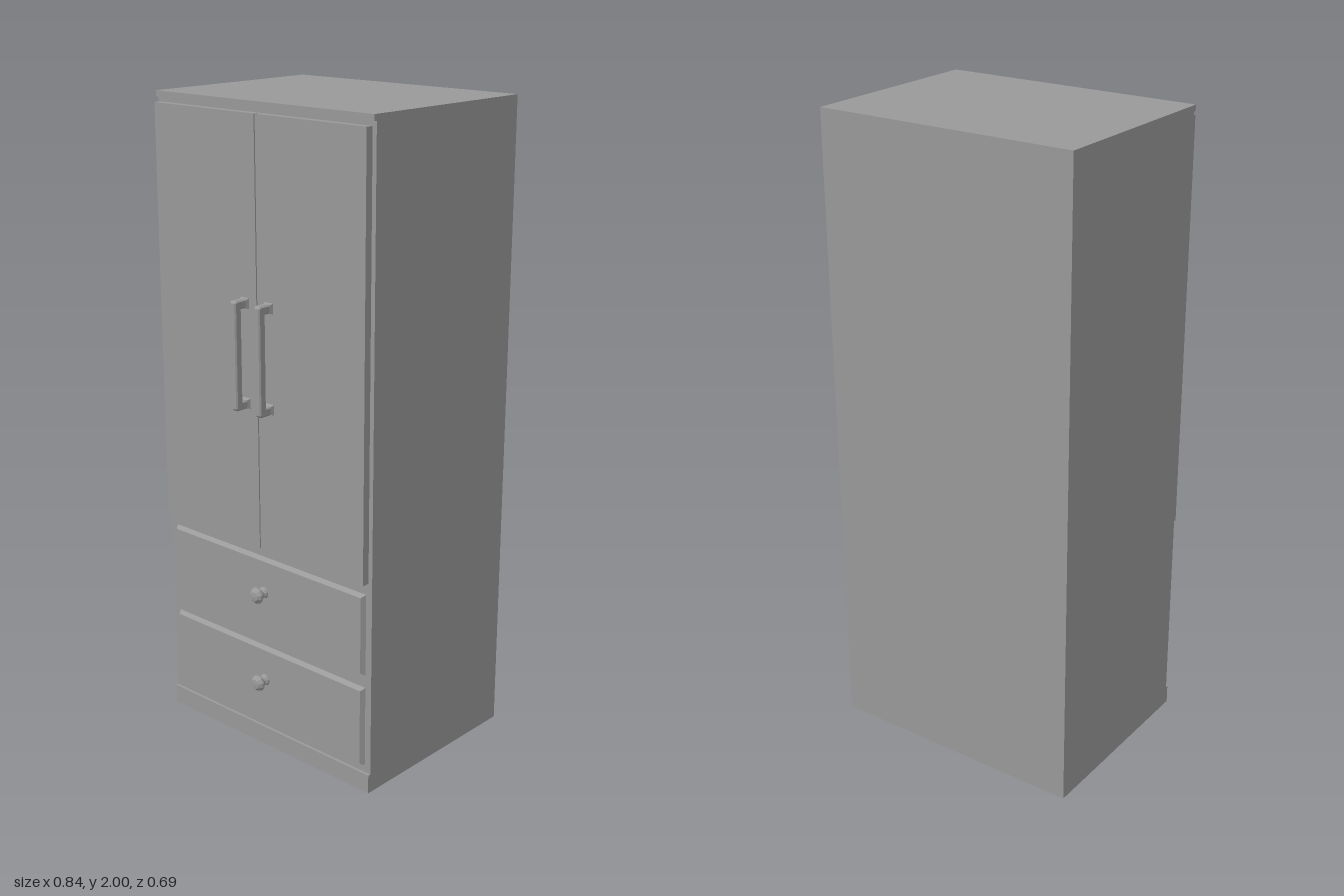
import * as THREE from 'three';

const grey = new THREE.MeshStandardMaterial({ color: 0x999999 });
grey.name = 'plain grey';

function add(parent, name, geometry, x = 0, y = 0, z = 0) {
  const mesh = new THREE.Mesh(geometry, grey);
  mesh.name = name;
  mesh.position.set(x, y, z);
  parent.add(mesh);
  return mesh;
}

// Extrudes a side profile of [z, y] points along x, centred on x = 0
function sideExtrude(points, width, bevel = 0) {
  const shape = new THREE.Shape(points.map(([z, y]) => new THREE.Vector2(z, y)));
  const geo = new THREE.ExtrudeGeometry(shape, {
    depth: width - 2 * bevel, bevelEnabled: bevel > 0, bevelSize: bevel,
    bevelThickness: bevel, bevelOffset: -bevel, bevelSegments: 1,
  });
  return geo.translate(0, 0, bevel - width / 2).rotateY(-Math.PI / 2);
}

// Box from z = 0 to depth whose front face is inset by the given amount
function bevelPanel(w, h, depth, inset) {
  const geo = new THREE.BoxGeometry(w, h, depth).translate(0, 0, depth / 2);
  const p = geo.attributes.position;
  for (let i = 0; i < p.count; i++) {
    if (p.getZ(i) < depth / 2) continue;
    p.setXY(i, p.getX(i) - Math.sign(p.getX(i)) * inset, p.getY(i) - Math.sign(p.getY(i)) * inset);
  }
  geo.computeVertexNormals();
  return geo;
}

// Faceted knob turned around the z axis
function knobGeometry() {
  const profile = [
    [0.019, 0], [0.017, 0.006], [0.011, 0.01], [0.011, 0.021], [0.021, 0.024],
    [0.026, 0.031], [0.024, 0.037], [0.015, 0.045], [0, 0.047],
  ].map(([r, y]) => new THREE.Vector2(r, y));
  const geo = new THREE.LatheGeometry(profile, 10).toNonIndexed();
  geo.computeVertexNormals();
  return geo.rotateX(Math.PI / 2);
}

export function createModel() {
  const model = new THREE.Group();
  model.name = 'wardrobe';
  const face = 0.268, lip = 0.277, doorFront = 0.292;

  // Cabinet with projecting plinth and top lip
  add(model, 'cabinet', sideExtrude([
    [-0.35, 0], [lip, 0], [lip, 0.06], [face, 0.06],
    [face, 1.982], [lip, 1.982], [lip, 2], [-0.35, 2],
  ], 0.842));

  // Pair of doors with a thin gap, and their pull handles
  const handle = sideExtrude([
    [0, 1.111], [0.046, 1.111], [0.052, 1.117], [0.052, 1.434], [0.046, 1.44], [0, 1.44],
    [0, 1.414], [0.026, 1.414], [0.026, 1.137], [0, 1.137],
  ], 0.024, 0.004);
  const foot = bevelPanel(0.032, 0.032, 0.01, 0.004);
  for (const [side, x0, x1, hx] of [['right', -0.413, -0.0045, -0.05], ['left', -0.0005, 0.407, 0.046]]) {
    add(model, side + ' door', new THREE.BoxGeometry(x1 - x0, 1.293, doorFront - face),
      (x0 + x1) / 2, 1.3215, (doorFront + face) / 2);
    const pull = new THREE.Group();
    pull.name = side + ' handle';
    pull.position.set(hx, 0, doorFront);
    add(pull, 'handle bar', handle);
    for (const y of [1.125, 1.426]) add(pull, 'handle foot', foot, 0, y, 0);
    model.add(pull);
  }

  // Two bevelled drawer fronts with knobs
  const panel = bevelPanel(0.796, 0.258, 0.014, 0.009);
  const knob = knobGeometry();
  for (const [name, y, knobY] of [['upper', 0.509, 0.527], ['lower', 0.211, 0.231]]) {
    add(model, name + ' drawer', panel, 0.001, y, face);
    add(model, name + ' knob', knob, 0, knobY, face + 0.013);
  }
  return model;
}
